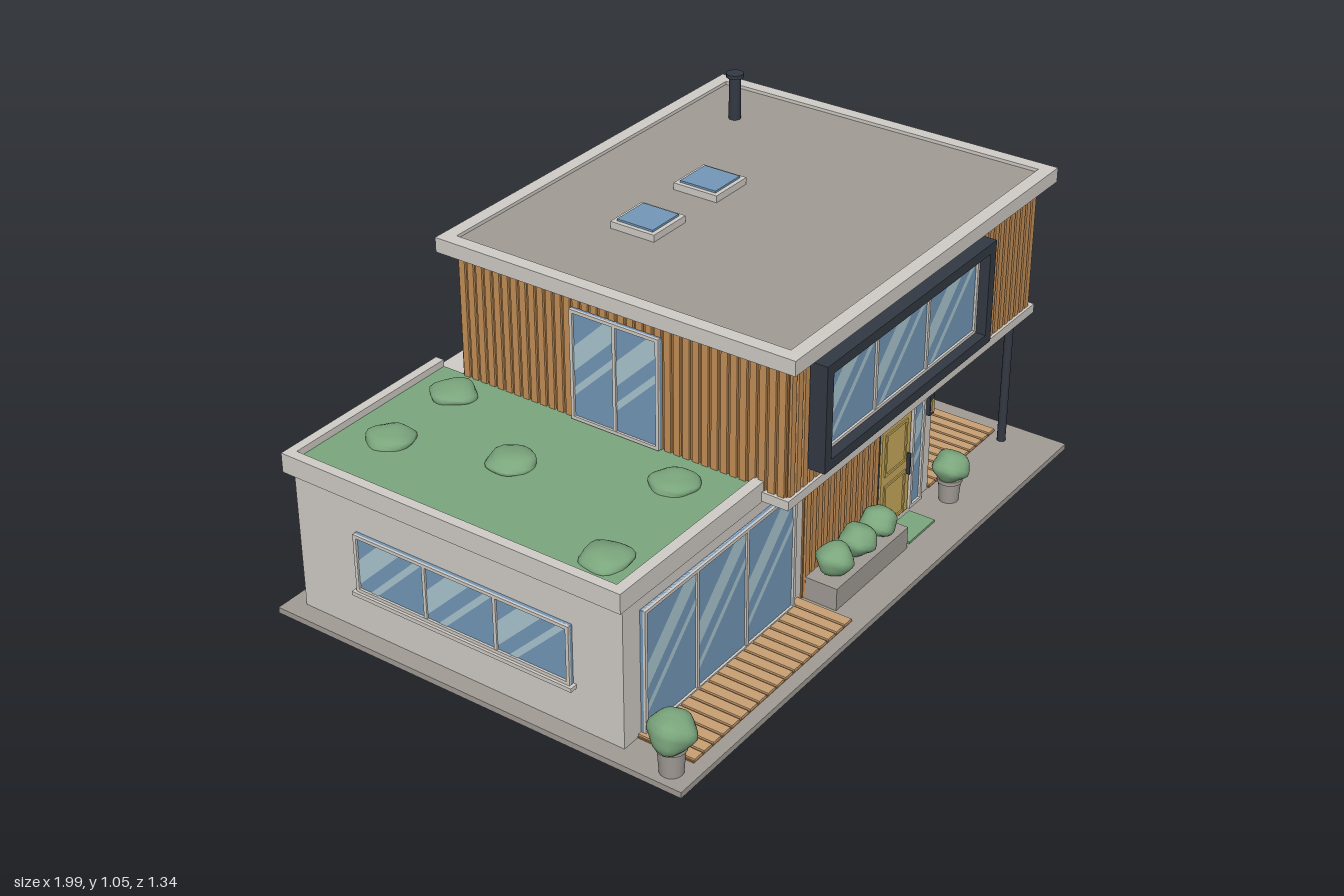
import * as THREE from 'three';
import { mergeVertices } from 'three/addons/utils/BufferGeometryUtils.js';

const mat = (name, color) => Object.assign(new THREE.MeshStandardMaterial({ color }), { name });
const M = {
  wall: mat('pale render', 0xd0ccc6), stone: mat('grey concrete', 0xa19b95),
  wood: mat('timber slat', 0xc48f57), gap: mat('dark timber', 0x9f7040),
  tan: mat('light timber', 0xc9a073), glass: mat('glass', 0x7397b8),
  glint: mat('glass reflection', 0xaac6d0), dark: mat('charcoal metal', 0x333943),
  green: mat('foliage', 0x7ba67d), door: mat('ochre door', 0xc9ab5c),
};

function add(parent, name, geometry, material, x = 0, y = 0, z = 0) {
  const m = new THREE.Mesh(geometry, material);
  m.name = name;
  m.position.set(x, y, z);
  parent.add(m);
  return m;
}

// Box given by its limits on each axis
const box = (p, name, m, x0, x1, y0, y1, z0, z1) =>
  add(p, name, new THREE.BoxGeometry(x1 - x0, y1 - y0, z1 - z0), m, (x0 + x1) / 2, (y0 + y1) / 2, (z0 + z1) / 2);

function group(parent, name, x = 0, y = 0, z = 0, ry = 0) {
  const g = new THREE.Group();
  g.name = name;
  g.position.set(x, y, z);
  g.rotation.y = ry;
  parent.add(g);
  return g;
}

// Rectangular ring extruded along z
function ringGeometry(w, h, bar, depth) {
  const rect = (C, a, b) => new C([[-a, -b], [a, -b], [a, b], [-a, b]].map(p => new THREE.Vector2(...p)));
  const s = rect(THREE.Shape, w / 2, h / 2);
  s.holes.push(rect(THREE.Path, w / 2 - bar, h / 2 - bar));
  return new THREE.ExtrudeGeometry(s, { depth, bevelEnabled: false });
}

// Keep the part of a polygon where side * (y - x - c) >= 0
function clip(pts, c, side) {
  const out = [], f = p => side * (p.y - p.x - c);
  pts.forEach((a, i) => {
    const b = pts[(i + 1) % pts.length], fa = f(a), fb = f(b);
    if (fa >= 0) out.push(a);
    if (fa * fb < 0) out.push(a.clone().lerp(b, fa / (fa - fb)));
  });
  return out;
}

// Glazed unit facing local +z, with mullions and diagonal reflections
function glazing(parent, name, w, h, panes, sill, x, y, z, ry = 0) {
  const g = group(parent, name, x, y, z, ry), bar = 0.01;
  box(g, 'glass', M.glass, -w / 2, w / 2, -h / 2, h / 2, 0, 0.009);
  add(g, 'windowFrame', ringGeometry(w, h, bar, 0.016), M.wall);
  const pw = (w - bar) / panes;
  for (let i = 0; i < panes; i++) {
    const cx = -w / 2 + bar / 2 + pw * (i + 0.5), a = (pw - bar) / 2, b = h / 2 - bar;
    if (i) box(g, 'mullion', M.wall, cx - pw / 2 - bar / 2, cx - pw / 2 + bar / 2, -b, b, 0.004, 0.015);
    const pane = [[-a, -b], [a, -b], [a, b], [-a, b]].map(p => new THREE.Vector2(...p));
    for (const [lo, hi] of [[0.045, 0.12], [-0.03, -0.005]]) {
      const band = clip(clip(pane, lo, 1), hi, -1);
      if (band.length > 2) add(g, 'reflection', new THREE.ShapeGeometry(new THREE.Shape(band)), M.glint, cx, 0, 0.0105);
    }
  }
  if (sill) box(g, 'sill', M.wall, -w / 2 - 0.01, w / 2 + 0.01, -h / 2 - 0.012, -h / 2, 0, 0.024);
}

// Vertical slats on a wall facing local +z
function slats(parent, w, y0, y1, x, z, ry = 0) {
  const g = group(parent, 'cladding', x, 0, z, ry), n = Math.round(w / 0.03), p = w / n;
  for (let i = 0; i < n; i++) {
    const c = -w / 2 + p * (i + 0.5);
    box(g, 'slat', M.wood, c - p * 0.34, c + p * 0.34, y0, y1, 0, 0.007);
  }
}

function deck(parent, name, x0, x1, z0, z1) {
  const g = group(parent, name), n = Math.round((x1 - x0) / 0.04), p = (x1 - x0) / n;
  box(g, 'deckBase', M.gap, x0, x1, 0.015, 0.022, z0, z1);
  for (let i = 0; i < n; i++) box(g, 'plank', M.tan, x0 + p * i + 0.004, x0 + p * (i + 1) - 0.004, 0.02, 0.028, z0, z1);
}

// Lumpy rounded shrub
function bush(parent, x, y, z, r, ry = r, seed = 0) {
  let geo = new THREE.IcosahedronGeometry(1, 3);
  geo.deleteAttribute('normal');
  geo.deleteAttribute('uv');
  geo = mergeVertices(geo);
  const pos = geo.attributes.position, v = new THREE.Vector3();
  for (let i = 0; i < pos.count; i++) {
    v.fromBufferAttribute(pos, i);
    const k = 0.96 + 0.07 * Math.sin(4 * v.x + seed) * Math.cos(4 * v.z + seed * 2) + 0.05 * Math.sin(5 * v.y + 3 * v.x + seed);
    pos.setXYZ(i, v.x * k * r, v.y * k * ry, v.z * k * r);
  }
  geo.computeVertexNormals();
  add(parent, 'bush', geo, M.green, x, y, z);
}

function pottedBush(parent, x, z, y0, potR, potH, r, seed) {
  const g = group(parent, 'pottedBush', x, y0, z);
  add(g, 'pot', new THREE.CylinderGeometry(potR, potR * 0.85, potH, 16), M.stone, 0, potH / 2, 0);
  add(g, 'potRim', new THREE.CylinderGeometry(potR * 1.1, potR * 1.1, 0.012, 16), M.stone, 0, potH - 0.006, 0);
  bush(g, 0, potH + r * 0.6, 0, r, r * 0.85, seed);
}

export function createModel() {
  const root = new THREE.Group();
  root.name = 'house';
  const Q = Math.PI / 2;

  // Ground and decks
  box(root, 'plinth', M.stone, -0.985, 0.997, 0, 0.018, -0.67, 0.67);
  deck(root, 'frontDeck', -0.875, -0.14, 0.455, 0.63);
  deck(root, 'sideDeck', 0.55, 0.94, -0.525, 0.46);

  // Ground floor
  const lower = group(root, 'groundFloor');
  box(lower, 'lowerWalls', M.wall, -0.93, 0.545, 0.018, 0.447, -0.618, 0.457);
  box(lower, 'lowerRoofSlab', M.wall, -0.952, 0.565, 0.446, 0.474, -0.638, 0.468);
  box(lower, 'greenRoof', M.green, -0.93, -0.33, 0.47, 0.484, -0.62, 0.45);
  box(lower, 'parapetLeft', M.wall, -0.952, -0.922, 0.47, 0.505, -0.638, 0.468);
  box(lower, 'parapetBack', M.wall, -0.922, -0.33, 0.47, 0.505, -0.638, -0.61);
  box(lower, 'parapetFront', M.wall, -0.922, -0.33, 0.47, 0.505, 0.436, 0.468);
  [[-0.705, -0.475], [-0.43, -0.49], [-0.615, -0.14], [-0.825, 0.33], [-0.45, 0.267]]
    .forEach(([x, z], i) => bush(lower, x, 0.487, z, 0.071, 0.028, i * 1.7));
  glazing(lower, 'frontSlidingDoors', 0.68, 0.38, 3, false, -0.52, 0.212, 0.457);
  glazing(lower, 'sideSlidingDoors', 0.61, 0.375, 3, false, 0.545, 0.215, 0.065, Q);
  glazing(lower, 'backSlidingDoors', 0.48, 0.375, 2, false, -0.636, 0.21, -0.618, 2 * Q);
  glazing(lower, 'backWindow', 0.385, 0.2, 2, true, 0.17, 0.25, -0.618, 2 * Q);
  glazing(lower, 'leftWindow', 0.71, 0.18, 3, true, -0.93, 0.245, -0.055, -Q);

  // Entrance
  const entry = group(root, 'entrance');
  box(entry, 'claddingBack', M.gap, -0.13, 0.245, 0.018, 0.446, 0.45, 0.462);
  slats(entry, 0.375, 0.02, 0.446, 0.0575, 0.462);
  box(entry, 'doorSurround', M.dark, 0.248, 0.42, 0.018, 0.37, 0.45, 0.463);
  box(entry, 'doorLeaf', M.door, 0.257, 0.411, 0.024, 0.362, 0.455, 0.469);
  for (const y of [0.1, 0.27]) add(entry, 'doorPanel', ringGeometry(0.115, 0.14, 0.008, 0.005), M.door, 0.33, y, 0.468);
  box(entry, 'doorHandle', M.dark, 0.396, 0.402, 0.15, 0.22, 0.468, 0.48);
  glazing(entry, 'sidelight', 0.066, 0.35, 1, false, 0.453, 0.195, 0.457);
  box(entry, 'wallLamp', M.dark, 0.506, 0.53, 0.288, 0.352, 0.457, 0.474);
  box(entry, 'lampGlow', M.door, 0.511, 0.525, 0.298, 0.338, 0.472, 0.478);
  box(entry, 'doormat', M.green, 0.265, 0.405, 0.018, 0.025, 0.48, 0.565);
  box(entry, 'planter', M.stone, -0.125, 0.245, 0.018, 0.088, 0.465, 0.57);
  [-0.053, 0.059, 0.17].forEach((x, i) => bush(entry, x, 0.128, 0.518, 0.055, 0.046, i + 2));

  // Upper floor
  const upper = group(root, 'upperFloor');
  box(upper, 'floorSlab', M.wall, -0.345, 0.957, 0.449, 0.477, -0.55, 0.55);
  box(upper, 'upperWalls', M.gap, -0.33, 0.94, 0.475, 0.87, -0.535, 0.535);
  slats(upper, 1.27, 0.477, 0.868, 0.305, 0.535);
  slats(upper, 1.27, 0.477, 0.868, 0.305, -0.535, 2 * Q);
  slats(upper, 1.07, 0.477, 0.868, 0.94, 0, Q);
  slats(upper, 1.07, 0.477, 0.868, -0.33, 0, -Q);
  add(upper, 'windowSurround', ringGeometry(0.86, 0.318, 0.031, 0.053), M.dark, 0.195, 0.676, 0.535);
  glazing(upper, 'frontWindow', 0.8, 0.258, 3, false, 0.195, 0.676, 0.541);
  glazing(upper, 'sideTallWindow', 0.24, 0.3, 1, false, 0.945, 0.67, 0.295, Q);
  glazing(upper, 'sideWideWindow', 0.335, 0.17, 2, true, 0.945, 0.68, -0.247, Q);
  glazing(upper, 'backWideWindow', 0.696, 0.205, 3, true, 0.41, 0.685, -0.54, 2 * Q);
  glazing(upper, 'backSmallWindow', 0.19, 0.205, 1, true, -0.175, 0.685, -0.54, 2 * Q);
  glazing(upper, 'terraceDoors', 0.29, 0.335, 2, false, -0.335, 0.655, 0, -Q);

  // Main roof
  const roof = group(root, 'mainRoof');
  box(roof, 'roofSlab', M.wall, -0.37, 0.985, 0.868, 0.897, -0.58, 0.578);
  box(roof, 'roofSurface', M.stone, -0.34, 0.955, 0.89, 0.902, -0.55, 0.548);
  const rim = add(roof, 'roofRim', ringGeometry(1.355, 1.158, 0.041, 0.022), M.wall, 0.3075, 0.89, -0.001);
  rim.rotation.x = -Q;
  for (const x of [0.035, 0.329]) {
    box(roof, 'skylightCurb', M.wall, x - 0.073, x + 0.073, 0.9, 0.923, -0.241, -0.095);
    box(roof, 'skylightGlass', M.glass, x - 0.06, x + 0.06, 0.92, 0.929, -0.228, -0.108);
  }
  add(roof, 'flue', new THREE.CylinderGeometry(0.018, 0.018, 0.14, 20), M.dark, 0.755, 0.965, -0.377);
  add(roof, 'flueCap', new THREE.CylinderGeometry(0.026, 0.026, 0.012, 20), M.dark, 0.755, 1.04, -0.377);
  add(root, 'supportPost', new THREE.CylinderGeometry(0.013, 0.013, 0.432, 16), M.dark, 0.908, 0.234, 0.5);

  // Terrace furniture
  const bench = group(root, 'bench');
  box(bench, 'benchSeat', M.tan, 0.615, 0.9, 0.028, 0.077, -0.505, -0.4);
  box(bench, 'benchBack', M.tan, 0.615, 0.9, 0.028, 0.135, -0.508, -0.482);
  for (const x of [0.69, 0.825]) box(bench, 'cushion', M.green, x - 0.062, x + 0.062, 0.077, 0.1, -0.48, -0.405);
  const table = group(root, 'table', 0.765, 0.028, -0.268);
  add(table, 'tableTop', new THREE.CylinderGeometry(0.048, 0.048, 0.009, 24), M.tan, 0, 0.052, 0);
  add(table, 'tableLeg', new THREE.CylinderGeometry(0.006, 0.006, 0.05, 10), M.dark, 0, 0.025, 0);
  add(table, 'tableFoot', new THREE.CylinderGeometry(0.028, 0.028, 0.006, 20), M.dark, 0, 0.003, 0);

  // Potted shrubs
  pottedBush(root, -0.93, 0.602, 0.018, 0.038, 0.085, 0.066, 1);
  pottedBush(root, 0.535, 0.535, 0.018, 0.034, 0.075, 0.056, 3);
  pottedBush(root, 0.87, -0.1, 0.028, 0.028, 0.055, 0.05, 5);
  return root;
}
